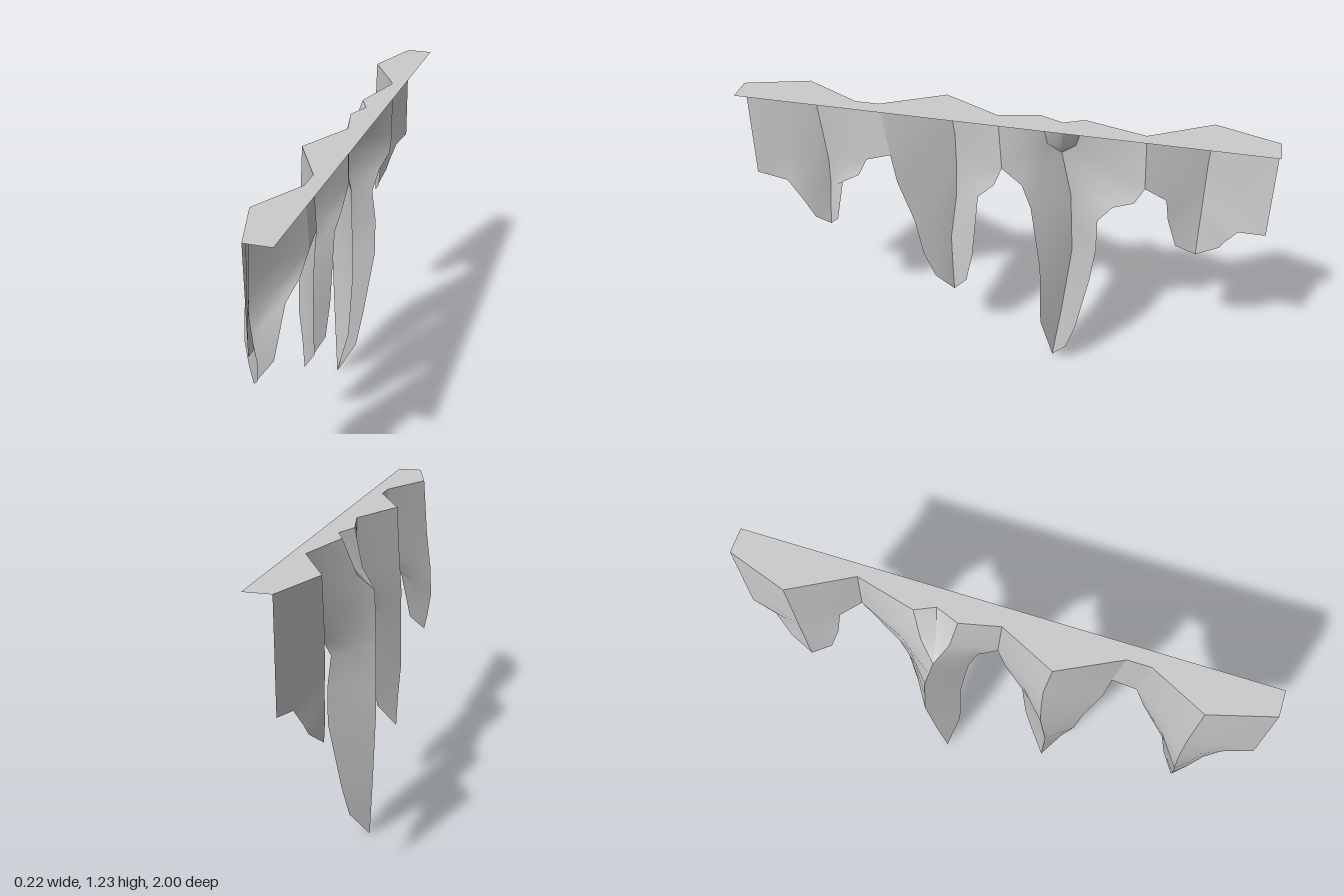
import * as THREE from 'three';

const TOP = 1.23;
const material = new THREE.MeshStandardMaterial({ color: 0xcccccc, side: THREE.DoubleSide });

// Smooth panel spanned between two edge lines of equal length, points are [x, y, z]
function panel(name, a, b) {
  const positions = [], index = [], steps = 2;
  a.forEach((p, i) => {
    for (let s = 0; s <= steps; s++) {
      for (let k = 0; k < 3; k++) positions.push(p[k] + (b[i][k] - p[k]) * s / steps);
    }
  });
  const w = steps + 1;
  for (let i = 0; i < a.length - 1; i++) {
    for (let s = 0; s < steps; s++) {
      const q = i * w + s;
      index.push(q, q + w, q + 1, q + 1, q + w, q + w + 1);
    }
  }
  const geometry = new THREE.BufferGeometry();
  geometry.setAttribute('position', new THREE.Float32BufferAttribute(positions, 3));
  geometry.setIndex(index);
  geometry.computeVertexNormals();
  const mesh = new THREE.Mesh(geometry, material);
  mesh.name = name;
  return mesh;
}

export function createModel() {
  const group = new THREE.Group();
  group.name = 'icicleRow';
  const add = (name, a, b) => group.add(panel(name, a, b));

  // Front icicle
  const tip1 = [-0.075, 0.55, 0.75];
  const ridge1 = [[-0.06, TOP, 0.76], [-0.08, 1.0, 0.745], [-0.1, 0.85, 0.74],
    [-0.105, 0.72, 0.745], [-0.09, 0.62, 0.75], tip1];
  add('frontIcicleFrontFace', [[0.01, TOP, 1], [0.015, 0.83, 1], [-0.01, 0.79, 0.89],
    [-0.02, 0.7, 0.84], [-0.04, 0.6, 0.8], tip1], ridge1);
  const strip1 = [[0.05, TOP, 0.545], [0.055, 0.98, 0.52]];
  add('frontIcicleBackFace', ridge1, [...strip1, [0.035, 0.89, 0.565],
    [0.01, 0.83, 0.645], [-0.02, 0.62, 0.695], tip1]);

  // Flat strip between the first two icicles
  const strip2 = [[0.05, TOP, 0.455], [0.05, 1.01, 0.425]];
  add('linkingStrip', strip1, strip2);

  // Second icicle
  const tip2 = [-0.075, 0.29, 0.225];
  const ridge2 = [[-0.07, TOP, 0.225], [-0.085, 1.05, 0.205], [-0.095, 0.9, 0.205],
    [-0.095, 0.75, 0.21], [-0.09, 0.55, 0.235], [-0.08, 0.42, 0.23], tip2];
  add('secondIcicleFrontFace', [...strip2, [0.035, 0.88, 0.41], [0.01, 0.68, 0.355],
    [0.0, 0.52, 0.33], [-0.01, 0.4, 0.285], tip2], ridge2);
  const valley = [[0.035, TOP, 0.01], [0.035, 1.0, -0.005]];
  add('secondIcicleBackFace', ridge2, [...valley, [0.02, 0.91, 0.03], [0.01, 0.84, 0.095],
    [0.0, 0.54, 0.125], [-0.01, 0.4, 0.155], tip2]);

  // Long icicle, with a recess under the ledge at the top of its ridge
  const tip3 = [-0.075, 0, -0.205];
  const apex = [-0.095, 1.02, -0.21];
  const recessFront = [[0.0, TOP, -0.14], [-0.035, 1.09, -0.165], apex];
  const recessBack = [[0.0, TOP, -0.305], [-0.045, 1.09, -0.27], apex];
  const recessMiddle = [[0.035, TOP, -0.23], [-0.02, 1.1, -0.22], apex];
  const ridge3 = [[-0.11, 0.82, -0.25], [-0.115, 0.55, -0.264], [-0.095, 0.25, -0.235]];
  add('longIcicleFrontFace', [...valley, [0.025, 0.93, -0.08], [0.015, 0.82, -0.115],
    [0.01, 0.53, -0.155], [-0.01, 0.23, -0.16], tip3], [...recessFront, ...ridge3, tip3]);
  const rearValley = [[0.06, TOP, -0.535], [0.06, 1.005, -0.545]];
  add('longIcicleBackFace', [...recessBack, [-0.103, 0.92, -0.23], ridge3[0],
    [-0.1125, 0.685, -0.257], ridge3[1], ridge3[2], [-0.085, 0.125, -0.22], tip3],
  [...rearValley, [0.06, 0.935, -0.51], [0.04, 0.89, -0.43], [0.025, 0.81, -0.375],
    [0.04, 0.68, -0.378], [0.045, 0.53, -0.36], [0.01, 0.25, -0.31], [-0.01, 0.11, -0.27], tip3]);
  add('recessFrontFace', recessFront, recessMiddle);
  add('recessBackFace', recessMiddle, recessBack);

  // Rear icicle
  const tip4 = [-0.065, 0.645, -0.755];
  const ridge4 = [[-0.07, TOP, -0.765], [-0.073, 1.05, -0.758], [-0.073, 0.93, -0.757],
    [-0.07, 0.83, -0.756], [-0.07, 0.73, -0.755], tip4];
  add('rearIcicleFrontFace', [...rearValley, [0.015, 0.935, -0.625], [-0.01, 0.83, -0.637],
    [-0.03, 0.7, -0.675], tip4], ridge4);
  add('rearIcicleBackFace', ridge4, [[0.01, TOP, -1], [0.01, 0.83, -1], [-0.01, 0.815, -0.9],
    [-0.03, 0.75, -0.86], [-0.04, 0.71, -0.84], tip4]);

  // Flat ledge: straight on one side, following the folds on the other
  const edge = [[0.01, 1], ...[ridge1, strip1, strip2, ridge2, valley, recessFront,
    recessMiddle, recessBack, rearValley, ridge4].map((line) => [line[0][0], line[0][2]]), [0.01, -1]];
  const outline = [[0.11, 1], ...edge, [0.11, -1]].map(([x, z]) => new THREE.Vector2(x, -z));
  const ledge = new THREE.Mesh(
    new THREE.ShapeGeometry(new THREE.Shape(outline)).rotateX(-Math.PI / 2).translate(0, TOP, 0), material);
  ledge.name = 'topLedge';
  group.add(ledge);

  return group;
}
